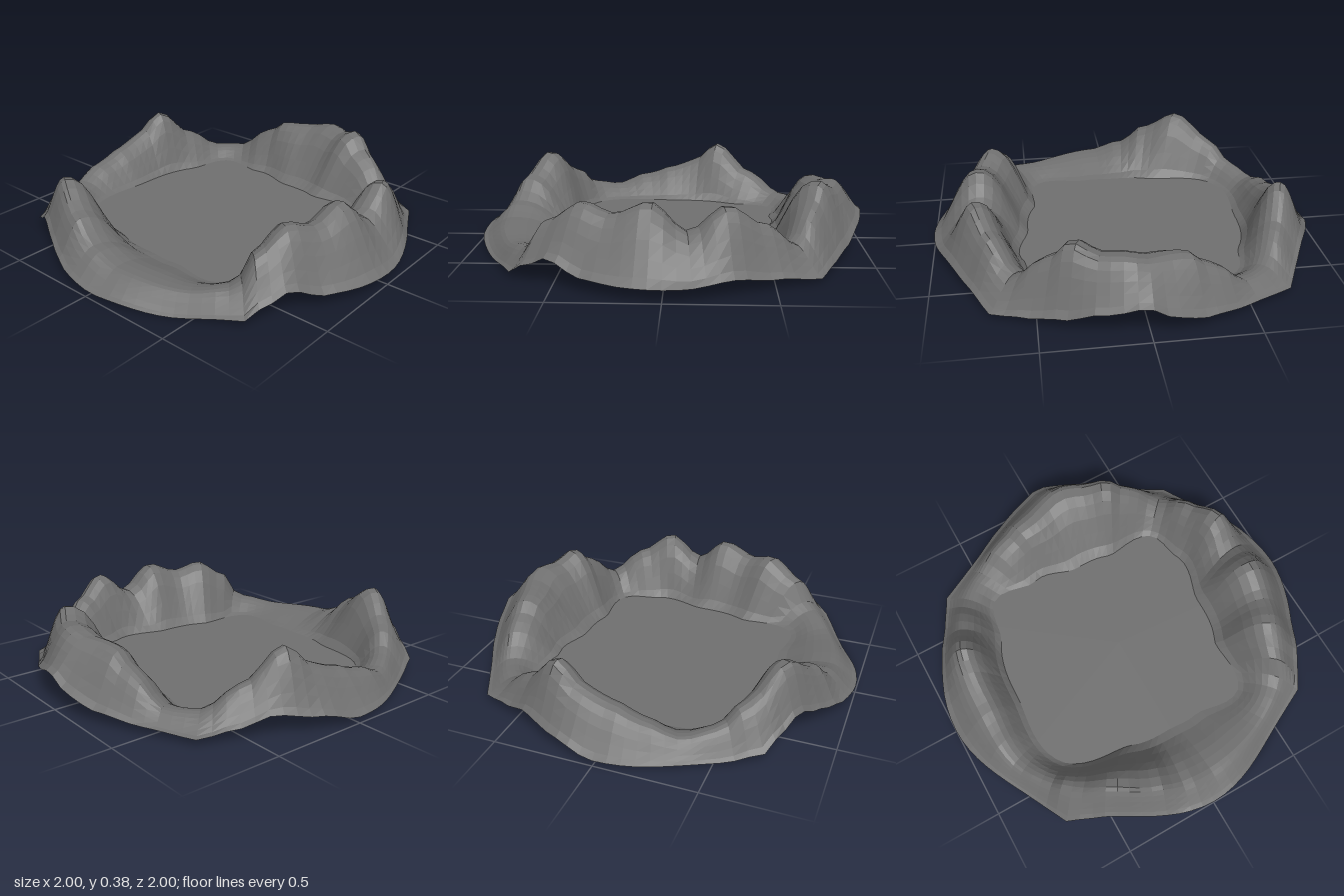
import * as THREE from 'three';

// Angle tables: [degrees from +x towards +z, value], eased between entries
const CREST_HEIGHT = [
  [-180, 0.22], [-172, 0.26], [-161, 0.37], [-147, 0.21], [-135, 0.1], [-125, 0.1], [-112, 0.23],
  [-103, 0.31], [-92, 0.32], [-82, 0.35], [-75, 0.34], [-66, 0.385], [-57, 0.28], [-45, 0.15],
  [-33, 0.27], [-20, 0.37], [-8, 0.25], [5, 0.38], [18, 0.32], [29, 0.36], [40, 0.27], [47, 0.12],
  [62, 0.09], [85, 0.11], [97, 0.16], [107, 0.27], [121, 0.375], [136, 0.24], [145, 0.14],
  [156, 0.11], [168, 0.17], [180, 0.22],
];
const CREST_RADIUS = [
  [-180, 0.81], [-160, 0.82], [-130, 0.87], [-100, 0.79], [-84, 0.84], [-66, 0.81], [-45, 0.84],
  [-20, 0.82], [0, 0.76], [28, 0.78], [50, 0.87], [90, 0.85], [121, 0.85], [155, 0.87], [180, 0.81],
];
const FOOT_RADIUS = [
  [-180, 0.63], [-150, 0.65], [-131, 0.74], [-113, 0.6], [-90, 0.51], [-68, 0.53], [-44, 0.68],
  [-28, 0.62], [0, 0.51], [28, 0.53], [53, 0.7], [75, 0.58], [90, 0.56], [112, 0.58],
  [145, 0.73], [180, 0.63],
];
const RIM_HEIGHT = [
  [-180, 0.03], [-168, 0.08], [-155, 0.11], [-145, 0.06], [-135, 0.03], [-120, 0.04], [-105, 0.07],
  [-97, 0.11], [-88, 0.18], [-78, 0.14], [-65, 0.07], [-55, 0.04], [-45, 0.02], [-32, 0.05],
  [-18, 0.08], [-5, 0.06], [10, 0.06], [22, 0.07], [33, 0.13], [40, 0.08], [46, 0.03], [65, 0],
  [85, 0.03], [100, 0.055], [108, 0.09], [114, 0.12], [122, 0.165], [129, 0.11], [136, 0.05],
  [145, 0.02], [165, 0.025], [180, 0.03],
];

const FLOOR = 0.04;
const SEGMENTS = 96;
const ease = (t) => t * t * (3 - 2 * t);

function sample(table, a) {
  const i = Math.max(1, table.findIndex((p) => p[0] >= a));
  const [a0, v0] = table[i - 1];
  const [a1, v1] = table[i];
  return v0 + (v1 - v0) * ease((a - a0) / (a1 - a0));
}

// Outline: four bulging sides that dip, then flare to a point at each diagonal
function rimRadius(a) {
  const fold = 45 - Math.abs((Math.abs(a) % 90) - 45);
  const flare = Math.max(0, (fold - 28) / 17);
  return 1 - 0.04 * ease(Math.min(1, fold / 28)) + 0.05 * flare * flare;
}

// One radial section of the terrain, from outer rim over the crest to the floor
function section(a) {
  const rim = rimRadius(a), rimY = sample(RIM_HEIGHT, a);
  const crest = sample(CREST_RADIUS, a), top = sample(CREST_HEIGHT, a);
  const foot = sample(FOOT_RADIUS, a);
  const points = [];
  for (let i = 0; i <= 6; i++) {
    const t = i / 6;
    points.push([rim + (crest - rim) * t, rimY + (top - rimY) * ease(t ** 0.85)]);
  }
  for (let i = 1; i <= 6; i++) {
    const t = i / 6;
    points.push([crest + (foot - crest) * t, top + (FLOOR - top) * ease(t ** 1.45)]);
  }
  return points;
}

// Skin a closed loop of radial sections
function skin(makeSection) {
  const positions = [], index = [];
  for (let s = 0; s < SEGMENTS; s++) {
    const a = -180 + (360 * s) / SEGMENTS;
    const r = THREE.MathUtils.degToRad(a);
    const points = makeSection(a);
    const n = points.length;
    for (const [d, y] of points) positions.push(d * Math.cos(r), y, d * Math.sin(r));
    const next = (s + 1) % SEGMENTS;
    for (let k = 0; k < n - 1; k++) {
      const p = s * n + k, q = next * n + k;
      index.push(p, p + 1, q, p + 1, q + 1, q);
    }
  }
  const geometry = new THREE.BufferGeometry();
  geometry.setAttribute('position', new THREE.Float32BufferAttribute(positions, 3));
  geometry.setIndex(index);
  geometry.computeVertexNormals();
  return geometry;
}

export function createModel() {
  const group = new THREE.Group();
  group.name = 'mountainRingTerrain';
  const material = new THREE.MeshStandardMaterial({
    color: 0x707070, flatShading: true, side: THREE.DoubleSide,
  });

  // Hollow ring of hills around the basin
  const hills = new THREE.Mesh(skin(section), material);
  hills.name = 'hillRing';

  // Flat basin floor inside the hills
  const floor = new THREE.Mesh(
    skin((a) => [[sample(FOOT_RADIUS, a), FLOOR], [0, FLOOR]]), material);
  floor.name = 'basinFloor';

  group.add(hills, floor);
  return group;
}
